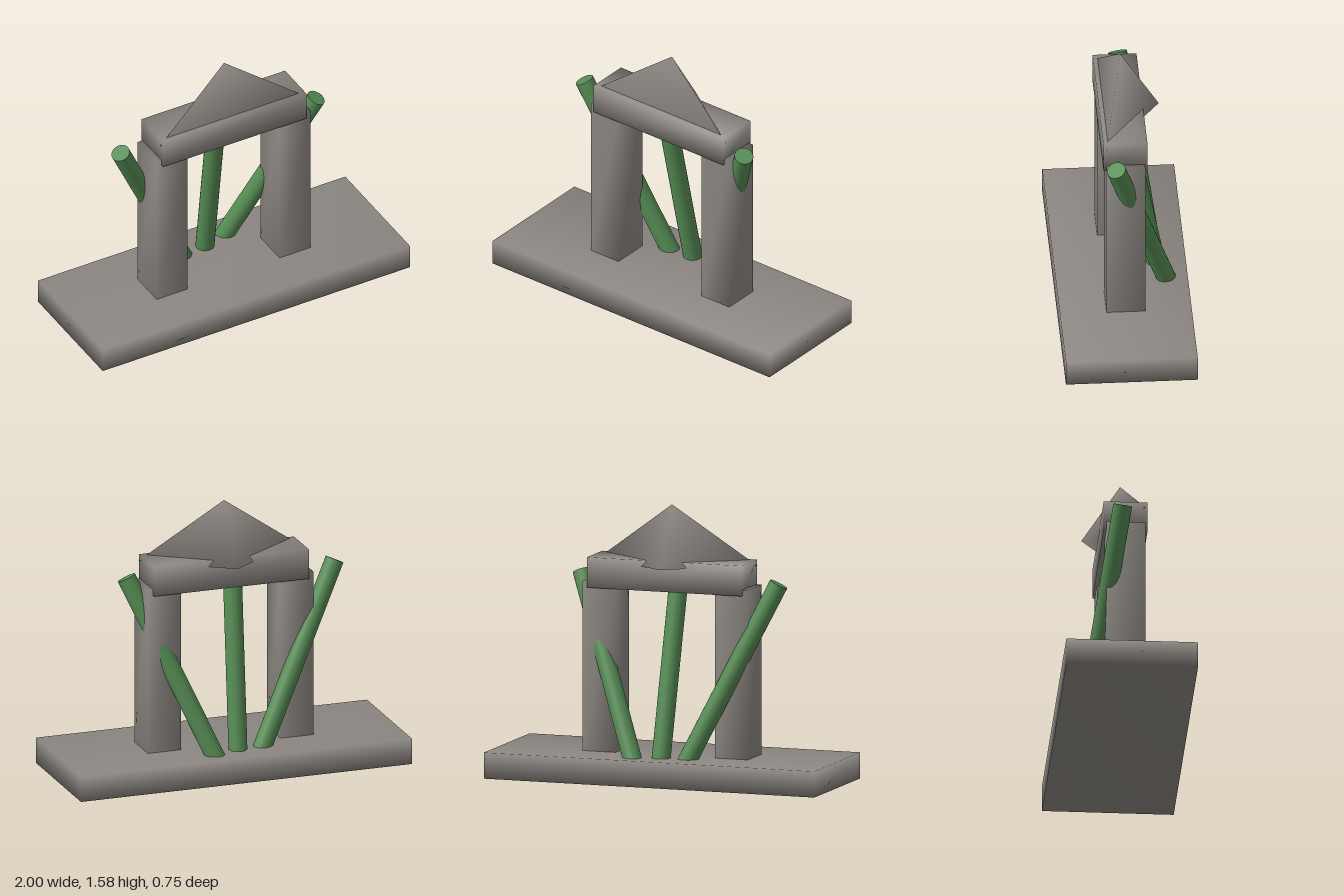
import * as THREE from 'three';
import { mergeVertices } from 'three/addons/utils/BufferGeometryUtils.js';

const stone = new THREE.MeshStandardMaterial({ color: 0x8c8782 });
stone.name = 'stone grey';
const vine = new THREE.MeshStandardMaterial({ color: 0x568c54 });
vine.name = 'stem green';

// Weld corners so that normals blend softly across the edges
function soften(geometry) {
  geometry.deleteAttribute('normal');
  geometry.deleteAttribute('uv');
  const welded = mergeVertices(geometry, 1e-4);
  welded.computeVertexNormals();
  return welded;
}

export function createModel() {
  const model = new THREE.Group();
  model.name = 'stoneGate';

  function add(name, geometry, material) {
    const mesh = new THREE.Mesh(geometry, material);
    mesh.name = name;
    model.add(mesh);
    return mesh;
  }

  // Stone block between two heights
  function block(name, width, y0, y1, depth, x = 0) {
    const geometry = soften(new THREE.BoxGeometry(width, y1 - y0, depth));
    add(name, geometry, stone).position.set(x, (y0 + y1) / 2, 0);
  }

  block('base', 2, 0, 0.15, 0.75);
  block('leftPillar', 0.2, 0.15, 1.125, 0.22, 0.4);
  block('rightPillar', 0.2, 0.15, 1.125, 0.22, -0.4);
  block('lintel', 0.935, 1.09, 1.265, 0.25);

  // Three-sided roof, stretched sideways, with its flat side to the front
  const roof = new THREE.ConeGeometry(0.22, 0.345, 3);
  roof.rotateY(Math.PI);
  roof.scale(2.52, 1, 1);
  roof.translate(0, 1.4025, 0);
  add('roof', soften(roof), stone);

  // Round stems fanning up from behind the gate
  const stems = [
    ['leftStem', [0.15, 0.15, -0.25], [0.567, 1.157, 0.06]],
    ['middleStem', [-0.01, 0.15, -0.203], [-0.047, 1.18, -0.005]],
    ['rightStem', [-0.168, 0.15, -0.188], [-0.657, 1.157, -0.03]],
  ];
  const up = new THREE.Vector3(0, 1, 0);
  for (const [name, from, to] of stems) {
    const top = new THREE.Vector3(...to);
    const foot = new THREE.Vector3(...from);
    const direction = top.clone().sub(foot).normalize();
    foot.addScaledVector(direction, -0.04); // sink the foot into the base
    const stem = add(name, new THREE.CylinderGeometry(0.054, 0.054, top.distanceTo(foot), 24), vine);
    stem.position.copy(top).add(foot).multiplyScalar(0.5);
    stem.quaternion.setFromUnitVectors(up, direction);
  }

  return model;
}
